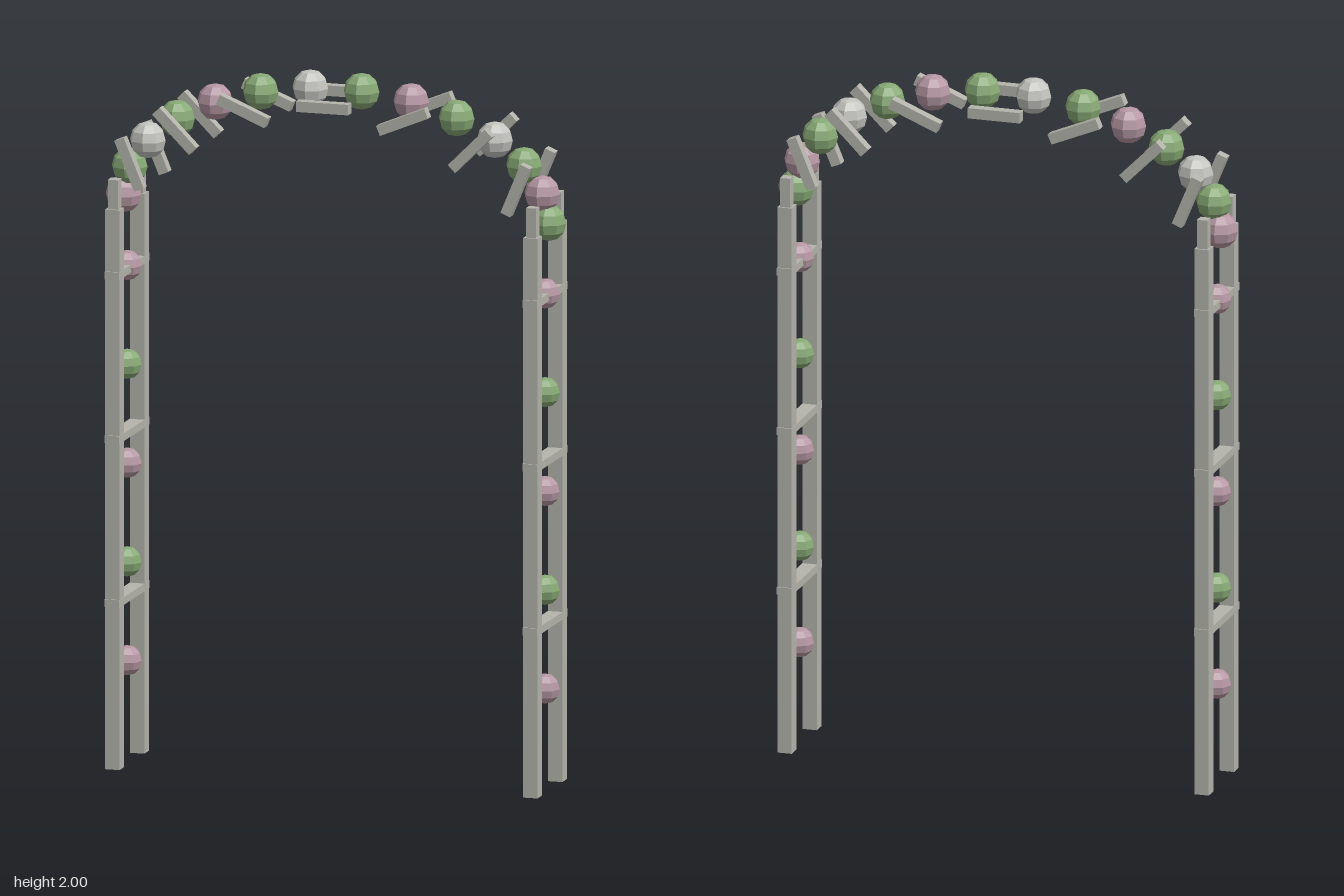
import * as THREE from 'three';

const mat = (name, color) => {
  const m = new THREE.MeshStandardMaterial({ color, flatShading: true });
  m.name = name;
  return m;
};

export function createModel() {
  const group = new THREE.Group();
  const metal = mat('warmGrey', 0xb4b4ac);
  const green = mat('leafGreen', 0x86a874);
  const pink = mat('dustyPink', 0xb496a2);
  const pale = mat('paleGrey', 0xc2c2be);

  const add = (name, geometry, material, x, y, z, rotZ = 0) => {
    const mesh = new THREE.Mesh(geometry, material);
    mesh.name = name;
    mesh.position.set(x, y, z);
    mesh.rotation.z = rotZ;
    group.add(mesh);
  };

  const post = new THREE.BoxGeometry(0.042, 1.592, 0.042);
  const rung = new THREE.BoxGeometry(0.043, 0.022, 0.276);
  const slat = new THREE.BoxGeometry(0.03, 0.152, 0.03);
  const smallBloom = new THREE.SphereGeometry(0.043, 8, 6);
  const largeBloom = new THREE.SphereGeometry(0.052, 8, 6);
  const halfWidth = 0.61, halfDepth = 0.113;

  for (const side of [-1, 1]) {
    const x = side * halfWidth;
    // Ladder-like uprights
    for (const z of [-halfDepth, halfDepth]) add('post', post, metal, x, 0.796, z);
    for (let i = 1; i <= 3; i++) add('rung', rung, metal, x, 0.007 + i * 0.466, 0);
    // Flowers climbing between the posts
    for (let i = 0; i < 5; i++) {
      add('climbingBloom', smallBloom, i % 2 ? green : pink, x, 0.284 + i * 0.281, 0);
    }
  }

  // Separate slats around the arch, front and back
  for (let i = 0; i <= 8; i++) {
    const t = (i * Math.PI) / 8;
    for (const z of [-halfDepth, halfDepth]) {
      add('archSlat', slat, metal, halfWidth * Math.cos(t), 1.6 + 0.32 * Math.sin(t), z, -t);
    }
  }

  // Garland of blooms along the arch
  const pattern = [green, pink, green, pale];
  for (let i = 0; i < 14; i++) {
    const t = (i * Math.PI) / 13;
    add('archBloom', largeBloom, pattern[i % 4], 0.62 * Math.cos(t), 1.61 + 0.34 * Math.sin(t), 0);
  }
  return group;
}
